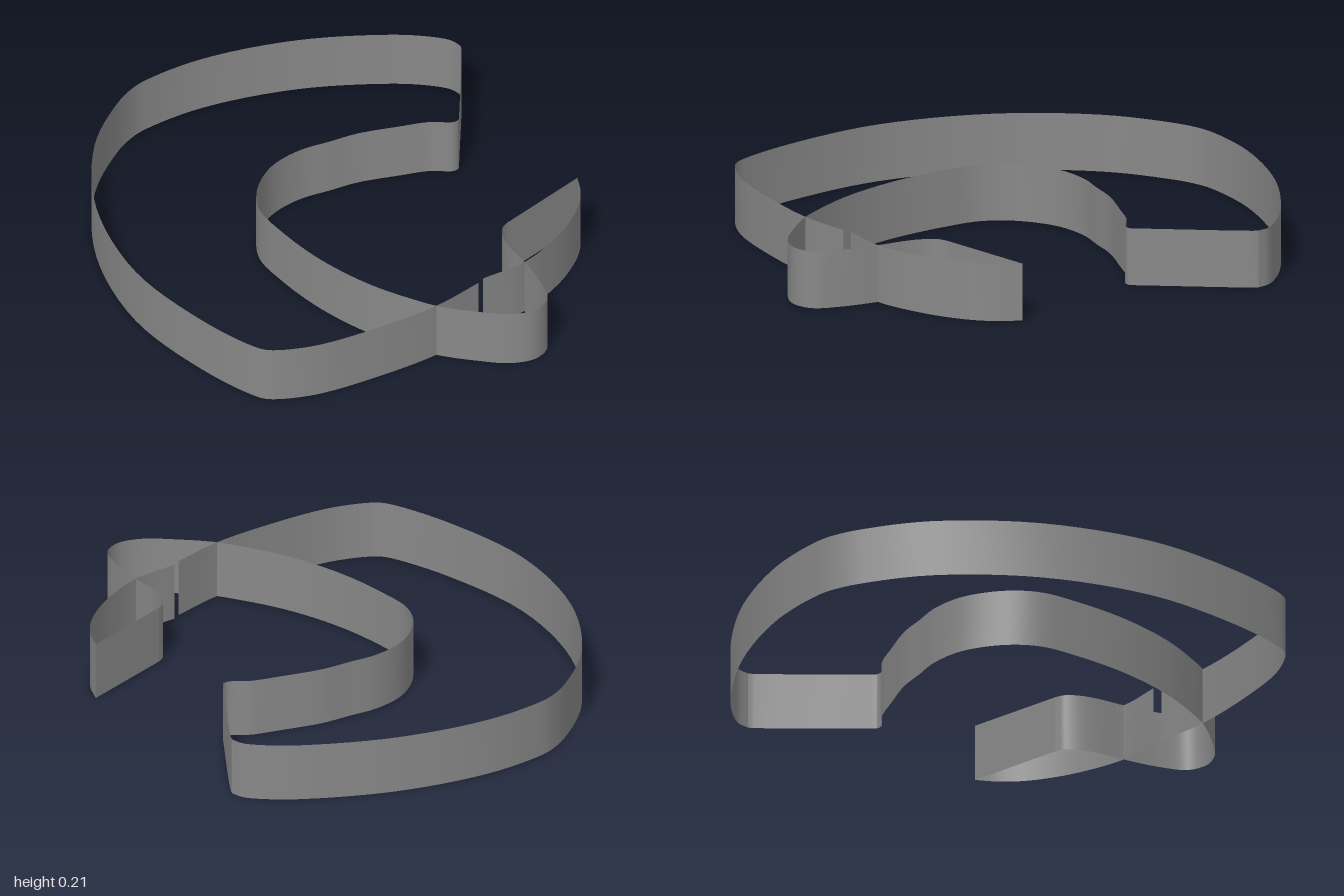
import * as THREE from 'three';

const HEIGHT = 0.214;

// Upright ribbon that follows a smooth plan curve through [x, z] points
function ribbon(name, points, steps, material) {
  const curve = new THREE.CatmullRomCurve3(
    points.map(([x, z]) => new THREE.Vector3(x, 0, z)), false, 'centripetal');
  const geometry = new THREE.PlaneGeometry(1, 1, steps, 1);
  const pos = geometry.attributes.position;
  for (let i = 0; i <= steps; i++) {
    const p = curve.getPoint(i / steps);
    pos.setXYZ(i, p.x, HEIGHT, p.z);
    pos.setXYZ(i + steps + 1, p.x, 0, p.z);
  }
  geometry.computeVertexNormals();
  const mesh = new THREE.Mesh(geometry, material);
  mesh.name = name;
  return mesh;
}

export function createModel() {
  const group = new THREE.Group();
  group.name = 'curvedBand';
  const material = new THREE.MeshStandardMaterial({ color: 0x888888, side: THREE.DoubleSide });

  // Each part lists its plan points; neighbouring parts share an end point
  const parts = {
    // Large sweep around the outside, from the gap to the blunt end
    outerWall: [[-0.115, 0.734], [-0.32, 0.718], [-0.588, 0.645], [-0.79, 0.565],
      [-0.9, 0.487], [-0.935, 0.445], [-0.949, 0.39], [-0.95, 0.155], [-0.882, -0.225],
      [-0.676, -0.6], [-0.387, -0.866], [-0.15, -0.975], [-0.05, -0.999], [0.03, -1.0],
      [0.271, -0.937], [0.582, -0.763], [0.831, -0.537], [0.914, -0.428], [0.95, -0.352],
      [0.948, -0.303]],
    // Straight blunt end
    endWall: [[0.948, -0.303], [0.933, -0.285], [0.615, -0.012]],
    // Inner bend, running into the rounded loop at the front
    innerWall: [[0.615, -0.012], [0.597, 0.0], [0.573, -0.005], [0.52, -0.066], [0.426, -0.129],
      [0.292, -0.212], [0.19, -0.252], [0.076, -0.296], [-0.064, -0.304], [-0.211, -0.244],
      [-0.298, -0.152], [-0.344, -0.012], [-0.383, 0.213], [-0.381, 0.453], [-0.342, 0.65],
      [-0.317, 0.73], [-0.26, 0.838], [-0.184, 0.95], [-0.105, 0.998], [-0.026, 0.986],
      [0.033, 0.905], [0.092, 0.77], [0.13, 0.66], [0.163, 0.602], [0.2, 0.568], [0.235, 0.56]],
    // Flat side of the pointed tip
    tipWall: [[0.235, 0.56], [0.611, 0.56]],
    // Curved side of the tip, crossing back to the gap
    tipCurve: [[0.611, 0.56], [0.556, 0.625], [0.489, 0.676], [0.39, 0.722], [0.271, 0.754],
      [0.092, 0.77], [-0.083, 0.728]],
  };
  for (const [name, points] of Object.entries(parts)) {
    group.add(ribbon(name, points, (points.length - 1) * 6, material));
  }
  return group;
}
